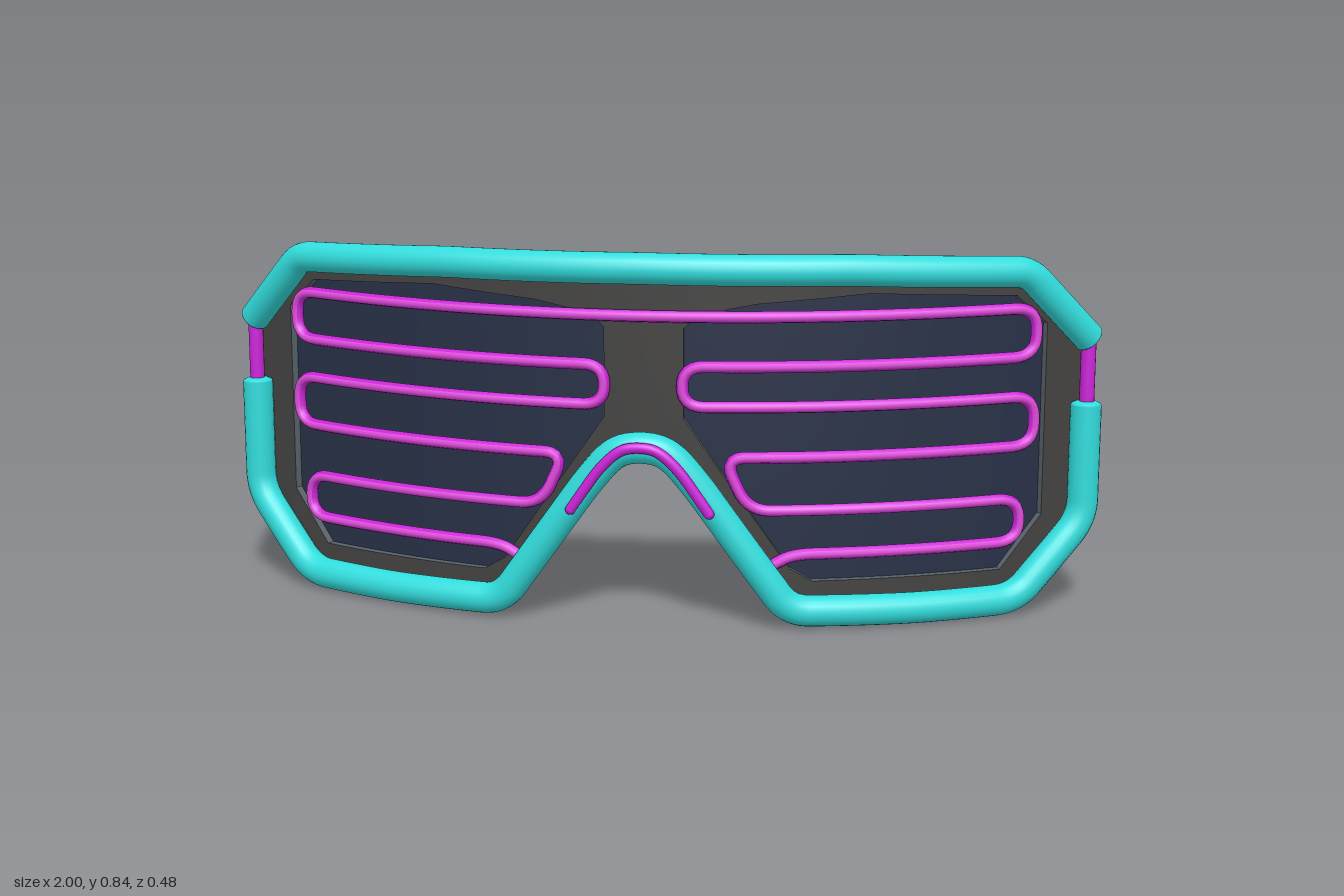
import * as THREE from 'three';
import { toCreasedNormals } from 'three/addons/utils/BufferGeometryUtils.js';

const mat = (name, color, side = THREE.FrontSide) => {
  const m = new THREE.MeshStandardMaterial({ color, side });
  m.name = name;
  return m;
};

// Wraps a flat front outline (x, y) round the face; d is the distance along the surface normal
function wrap(x, y, d) {
  const n = new THREE.Vector2(0.66 * x, 1).normalize();
  return new THREE.Vector3(x + d * n.x, y, 0.187 - 0.33 * x * x + d * n.y);
}

const mirrored = half => [...half, ...half.filter(p => p[0] > 0).reverse().map(([x, y]) => [-x, y])];

// Open polyline with rounded corners, sampled evenly
function roundedLine(pts, r, count) {
  const v = pts.map(p => new THREE.Vector2(...p));
  const path = new THREE.Path();
  path.moveTo(v[0].x, v[0].y);
  for (let i = 1; i < v.length - 1; i++) {
    const cut = q => v[i].clone().lerp(q, Math.min(0.48, r / v[i].distanceTo(q)));
    const a = cut(v[i - 1]), b = cut(v[i + 1]);
    path.lineTo(a.x, a.y);
    path.quadraticCurveTo(v[i].x, v[i].y, b.x, b.y);
  }
  path.lineTo(v.at(-1).x, v.at(-1).y);
  return path.getSpacedPoints(count);
}

// Round bar that follows the wrap, with domed ends
function bar(name, pts, { radius, corner, d, count, sides, dome }, material) {
  const group = new THREE.Group();
  group.name = name;
  const curve = new THREE.CatmullRomCurve3(roundedLine(pts, corner, count).map(p => wrap(p.x, p.y, d)));
  curve.arcLengthDivisions = count * 4;
  const body = new THREE.Mesh(new THREE.TubeGeometry(curve, count, radius, sides), material);
  body.name = name + 'Body';
  group.add(body);
  for (const t of [0, 1]) {
    const end = new THREE.Mesh(new THREE.SphereGeometry(radius, sides, 8), material);
    end.name = name + 'End';
    end.position.copy(curve.getPointAt(t));
    end.scale.y = dome;
    end.quaternion.setFromUnitVectors(new THREE.Vector3(0, 1, 0), curve.getTangentAt(t));
    group.add(end);
  }
  return group;
}

// Half outlines of the frame and of one lens opening
const frameEdge = [[0, 0.828], [0.5, 0.822], [0.84, 0.803], [0.983, 0.635], [0.983, 0.21], [0.83, 0.014],
  [0.34, 0.02], [0.13, 0.32], [0.07, 0.4], [0, 0.43]];
const lensEdge = [[0.12, 0.7], [0.25, 0.725], [0.5, 0.745], [0.82, 0.727], [0.89, 0.66], [0.89, 0.22],
  [0.8, 0.1], [0.38, 0.1], [0.33, 0.13], [0.09, 0.47], [0.09, 0.67]];
const C = [0.48, 0.42];

// Distance from the lens centre to an outline along an angle
function reach(poly, a) {
  const cx = Math.cos(a), sy = Math.sin(a);
  let best = 0;
  poly.forEach((p, i) => {
    const q = poly[(i + 1) % poly.length];
    const px = p[0] - C[0], py = p[1] - C[1], ex = q[0] - p[0], ey = q[1] - p[1];
    const det = cx * ey - sy * ex;
    if (Math.abs(det) < 1e-9) return;
    const t = (px * ey - py * ex) / det, u = (px * sy - py * cx) / det;
    if (t > 0 && u > -1e-6 && u < 1 + 1e-6) best = Math.max(best, t);
  });
  return best;
}

const angles = [...frameEdge, ...lensEdge].map(p => Math.atan2(p[1] - C[1], p[0] - C[0]));
for (let i = 0; i < 120; i++) angles.push(-Math.PI + (i + 0.5) * Math.PI / 60);
angles.sort((a, b) => a - b);
const rays = angles.map(a => ({ a, lens: reach(lensEdge, a), frame: reach(frameEdge, a) }));

// Skin round the lens centre: each profile row gives [radius rule, d]
function skin(name, rows, side, material) {
  const pos = [];
  const at = (ray, [rule, d]) => {
    const r = rule(ray);
    return wrap(side * (C[0] + r * Math.cos(ray.a)), C[1] + r * Math.sin(ray.a), d);
  };
  const tri = (a, b, c) => (side > 0 ? [a, b, c] : [a, c, b]).forEach(p => pos.push(p.x, p.y, p.z));
  rays.forEach((ray, i) => {
    const next = rays[(i + 1) % rays.length];
    for (let k = 0; k < rows.length - 1; k++) {
      const a = at(ray, rows[k]), b = at(ray, rows[k + 1]), c = at(next, rows[k + 1]), e = at(next, rows[k]);
      tri(a, b, c);
      tri(a, c, e);
    }
  });
  const g = new THREE.BufferGeometry();
  g.setAttribute('position', new THREE.Float32BufferAttribute(pos, 3));
  const mesh = new THREE.Mesh(toCreasedNormals(g, 0.5), material);
  mesh.name = name;
  return mesh;
}

export function createModel() {
  const teal = mat('teal', 0x32dcdc);
  const magenta = mat('magenta', 0xcc24da);
  const pink = mat('pink highlight', 0xe04cdc);
  const dark = mat('dark frame', 0x434241);
  const grey = mat('grey edge', 0x59646b);
  const navy = mat('navy lens', 0x273046, THREE.DoubleSide);

  const model = new THREE.Group();
  model.name = 'shutterGoggles';
  const FRONT = -0.03, BACK = -0.071, LENS = -0.048;
  const between = s => ray => ray.lens + (ray.frame - ray.lens) * s;
  const within = s => ray => ray.lens * s;
  const steps = [0, 0.25, 0.5, 0.75, 1];

  // Frame and lenses, one half at a time
  for (const side of [1, -1]) {
    const s = side > 0 ? 'left' : 'right';
    model.add(
      skin(s + 'FrameFront', steps.map(t => [between(t), FRONT]), side, dark),
      skin(s + 'FrameBack', steps.map(t => [between(1 - t), BACK]), side, dark),
      skin(s + 'FrameRim', [[between(1), FRONT], [between(1), BACK]], side, grey),
      skin(s + 'LensRim', [[between(0), BACK], [between(0), FRONT]], side, grey),
      skin(s + 'Lens', [0, 0.15, 0.3, 0.45, 0.6, 0.75, 0.9, 1].map(t => [within(t), LENS]), side, navy));
  }

  // Thick outer bars: brow above, lower rim running over the nose
  const thick = { radius: 0.035, d: 0, sides: 20, dome: 0.3 };
  model.add(bar('browBar', mirrored([[0.968, 0.625], [0.828, 0.784], [0.45, 0.802], [0, 0.806]]),
    { ...thick, corner: 0.03, count: 200 }, teal));
  model.add(bar('lowerBar', mirrored([[0.967, 0.472], [0.967, 0.21], [0.82, 0.038], [0.6, 0.036], [0.325, 0.041],
    [0.12, 0.33], [0.06, 0.4], [0, 0.412]]), { ...thick, corner: 0.045, count: 300 }, teal));

  // Side links between the two bars
  for (const side of [1, -1]) {
    const link = new THREE.Mesh(new THREE.CylinderGeometry(0.017, 0.017, 0.18, 16), magenta);
    link.name = side > 0 ? 'leftLink' : 'rightLink';
    link.position.copy(wrap(side * 0.968, 0.55, 0));
    model.add(link);
  }

  // Shutter wire winding across both lenses, with a lighter band along its front
  const shutterPath = mirrored([[0.285, 0.138], [0.335, 0.165], [0.835, 0.165], [0.835, 0.265],
    [0.235, 0.265], [0.18, 0.385], [0.862, 0.385], [0.862, 0.498], [0.088, 0.498], [0.088, 0.588],
    [0.862, 0.588], [0.862, 0.698], [0, 0.698]]);
  const wire = { corner: 0.05, count: 800, sides: 8, dome: 1 };
  model.add(bar('shutterWire', shutterPath, { ...wire, radius: 0.0135, d: -0.022 }, magenta));
  model.add(bar('shutterBand', shutterPath, { ...wire, radius: 0.01, d: -0.017 }, pink));

  // Nose trim wire in front of the lower bar
  model.add(bar('noseTrim', mirrored([[0.15, 0.272], [0.085, 0.37], [0.04, 0.412], [0, 0.418]]),
    { radius: 0.012, corner: 0.04, d: 0.038, count: 60, sides: 10, dome: 1 }, magenta));

  // Nose pad: arched strip with round ends standing off the back of the frame
  const mid = roundedLine(mirrored([[0.275, 0.142], [0.147, 0.327], [0.085, 0.412], [0, 0.45]]), 0.05, 60);
  const offset = w => mid.map((p, i) => {
    const t = mid[Math.min(i + 1, 60)].clone().sub(mid[Math.max(i - 1, 0)]).normalize();
    const taper = Math.sqrt(Math.min(1, (Math.min(i, 60 - i) + 0.3) / 4));
    return new THREE.Vector2(p.x - t.y * w * taper, p.y + t.x * w * taper);
  });
  const padShape = new THREE.Shape([...offset(0.012), ...offset(-0.012).reverse()]);
  const pad = new THREE.ExtrudeGeometry(padShape, { depth: 0.034, steps: 1, bevelSize: 0.011,
    bevelThickness: 0.011, bevelSegments: 4 });
  const pp = pad.attributes.position;
  for (let i = 0; i < pp.count; i++) {
    const p = wrap(pp.getX(i), pp.getY(i), pp.getZ(i) - 0.1);
    pp.setXYZ(i, p.x, p.y, p.z);
  }
  const nosePad = new THREE.Mesh(toCreasedNormals(pad, 0.7), [dark, grey]);
  nosePad.name = 'nosePad';
  model.add(nosePad);

  // Slight turn to one side
  model.rotation.y = -0.05;
  model.position.x = -0.006;
  const root = new THREE.Group();
  root.name = 'goggles';
  root.add(model);
  return root;
}
